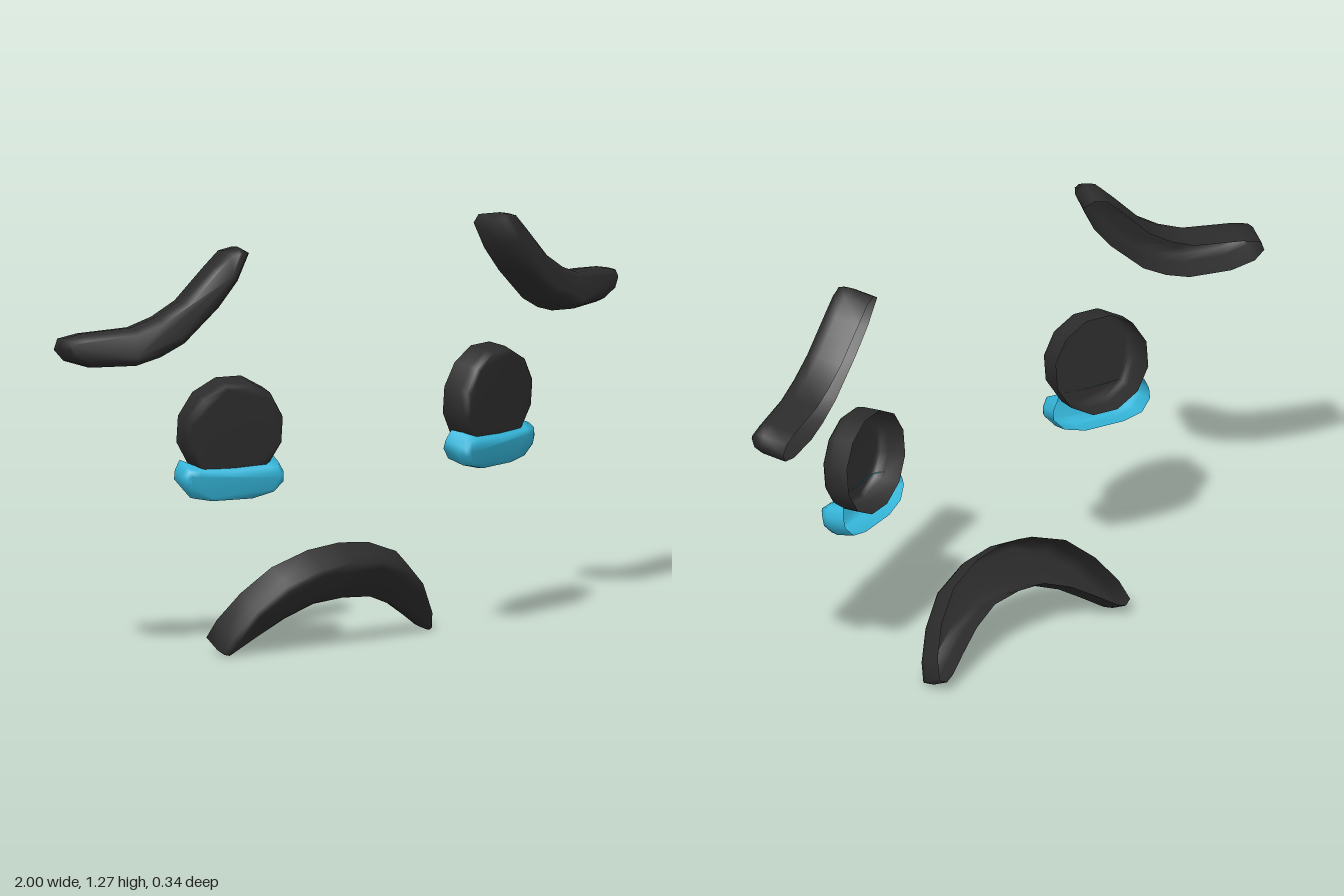
import * as THREE from 'three';

const dark = new THREE.MeshStandardMaterial({ color: 0x2c2c2c, side: THREE.DoubleSide });
dark.name = 'charcoal';
const blue = new THREE.MeshStandardMaterial({ color: 0x35b6da, side: THREE.DoubleSide });
blue.name = 'tear blue';

// Layers of a shell from open back rim to front cap: [inset fraction, depth fraction]
const LAYERS = [[0, 0], [0, 0.65], [0.35, 0.9], [1, 1]];

// Open-backed shell. rim: counterclockwise [x, y, lift] points lying on the plane
// z = c + sx * x + sy * y; the walls rise along the plane's normal by depth.
function shell(name, material, rim, { c, sx, sy, depth, bevel }, side = 1) {
  const n = rim.length;
  const inward = rim.map((p, i) => {
    const a = rim[(i + n - 1) % n], b = rim[(i + 1) % n];
    const l = Math.hypot(b[0] - a[0], b[1] - a[1]);
    return [-(b[1] - a[1]) / l, (b[0] - a[0]) / l];
  });
  const positions = [], index = [];
  const face = (a, b, d) => index.push(...(side > 0 ? [a, b, d] : [a, d, b]));
  let cap = [];
  LAYERS.forEach(([inset, rise], k) => {
    cap = [];
    rim.forEach(([px, py, lift = 0], i) => {
      const x = px + inward[i][0] * bevel * inset;
      const y = py + inward[i][1] * bevel * inset;
      const d = Math.max(depth * rise, lift);
      cap.push(new THREE.Vector2(x, y));
      positions.push(side * (x - sx * d), y - sy * d, c + sx * x + sy * y + d);
      if (k > 0) {
        const j = (i + 1) % n, lo = (k - 1) * n, hi = k * n;
        face(lo + i, lo + j, hi + j);
        face(lo + i, hi + j, hi + i);
      }
    });
  });
  const top = (LAYERS.length - 1) * n;
  for (const [a, b, d] of THREE.ShapeUtils.triangulateShape(cap, [])) face(top + a, top + b, top + d);

  const geometry = new THREE.BufferGeometry();
  geometry.setAttribute('position', new THREE.Float32BufferAttribute(positions, 3));
  geometry.setIndex(index);
  geometry.computeVertexNormals();
  const mesh = new THREE.Mesh(geometry, material);
  mesh.name = name;
  return mesh;
}

export function createModel() {
  const model = new THREE.Group();
  model.name = 'sadFace';

  const brow = [
    [0.415, 1.24], [0.455, 1.16], [0.515, 1.085], [0.62, 0.985], [0.69, 0.947], [0.76, 0.925],
    [0.88, 0.925], [0.945, 0.947], [0.968, 0.98], [0.955, 1.012], [0.9, 1.025], [0.76, 1.037],
    [0.69, 1.065], [0.62, 1.11], [0.53, 1.205], [0.485, 1.25], [0.445, 1.26],
  ];
  const eye = Array.from({ length: 12 }, (_, i) => {
    const a = ((i + 0.5) / 12) * Math.PI * 2;
    return [0.455 + 0.153 * Math.cos(a), 0.72 + 0.155 * Math.sin(a)];
  });
  // The middle of the top edge is lifted so that it meets the front of the eye
  const tear = [
    [0.305, 0.6], [0.302, 0.575], [0.33, 0.54], [0.395, 0.522], [0.52, 0.522], [0.58, 0.535],
    [0.613, 0.57], [0.615, 0.6], [0.605, 0.63], [0.57, 0.63, 0.055], [0.46, 0.625, 0.06],
    [0.36, 0.63, 0.055], [0.325, 0.63],
  ];

  for (const side of [1, -1]) {
    const label = side > 0 ? 'left' : 'right';
    model.add(
      shell(label + 'Eyebrow', dark, brow, { c: 0.493, sx: -0.43, sy: -0.19, depth: 0.105, bevel: 0.024 }, side),
      shell(label + 'Eye', dark, eye, { c: 0.083, sx: -0.25, sy: 0.1, depth: 0.09, bevel: 0.015 }, side),
      shell(label + 'Tear', blue, tear, { c: 0.02, sx: -0.26, sy: 0.25, depth: 0.085, bevel: 0.02 }, side),
    );
  }

  // Downturned mouth: one half, bottom centre to top centre, then mirrored
  const half = [
    [0.1, 0.172], [0.19, 0.135], [0.27, 0.085], [0.33, 0.045], [0.36, 0.033], [0.383, 0.045],
    [0.365, 0.1], [0.31, 0.18], [0.225, 0.255], [0.11, 0.298],
  ];
  const mirrored = half.map(([x, y]) => [-x, y]).reverse();
  const mouth = [[0, 0.18], ...half, [0, 0.31], ...mirrored];
  model.add(shell('mouth', dark, mouth, { c: -0.181, sx: 0, sy: 0.52, depth: 0.088, bevel: 0.022 }));

  return model;
}
